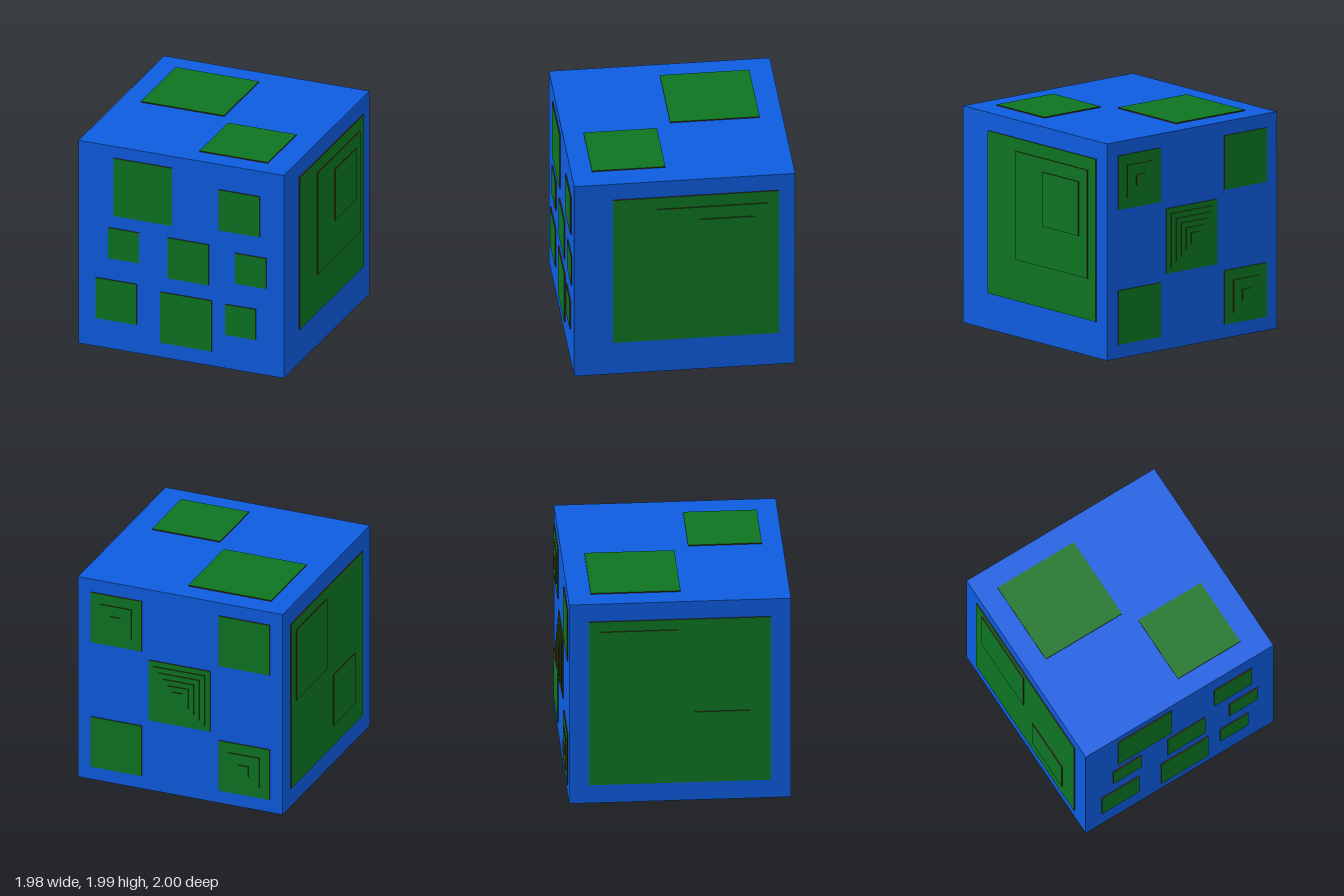
import * as THREE from 'three';

// Cube bounds and the thickness of one terrace layer
const MIN = [-0.971, 0.048, -0.942];
const SIZE = 1.932;
const T = SIZE / 200;

const blue = new THREE.MeshStandardMaterial({ color: 0x0d5ce0 });
const green = new THREE.MeshStandardMaterial({ color: 0x0d7422 });
const brown = new THREE.MeshStandardMaterial({ color: 0x4a2508 });

// Each face: normal axis, its sign, and the two in-plane axes (x=0, y=1, z=2)
const FACES = {
  front: { n: 2, s: 1, u: 0, v: 1 },
  back: { n: 2, s: -1, u: 0, v: 1 },
  left: { n: 0, s: 1, u: 2, v: 1 },
  right: { n: 0, s: -1, u: 2, v: 1 },
  top: { n: 1, s: 1, u: 0, v: 2 },
  bottom: { n: 1, s: -1, u: 0, v: 2 },
};

// Square plates [centre u, centre v, side, layer number (default 1)]
const PLATES = {
  front: [
    [-0.365, 1.595, 0.55], [0.542, 1.548, 0.386], [-0.545, 1.055, 0.29],
    [0.062, 1.007, 0.386], [0.65, 1.018, 0.29], [-0.615, 0.512, 0.386],
    [0.043, 0.43, 0.483], [0.555, 0.515, 0.29],
  ],
  left: [[-0.075, 1.095, 1.45], [-0.215, 1.222, 0.966, 2], [-0.343, 1.343, 0.483, 3]],
  right: [[0.022, 1.018, 1.585], [-0.335, 1.375, 0.676, 2], [0.39, 0.67, 0.483, 2]],
  top: [[-0.387, -0.35, 0.783], [0.414, 0.488, 0.642]],
  back: [[-0.61, 1.615, 0.483], [0.598, 0.413, 0.483]],
  bottom: [
    [0.356, -0.315, 0.966], [0.275, -0.25, 0.58, 2], [0.215, -0.19, 0.386, 3],
    [0.198, -0.175, 0.29, 4], [0.182, -0.163, 0.193, 5],
    [0.3, 0.565, 0.483], [0.31, 0.48, 0.29, 2],
    [-0.563, -0.25, 0.483], [-0.515, -0.33, 0.29, 2],
    [-0.525, 0.565, 0.483],
  ],
};

// Concentric stepped terraces on the back
const terrace = (u, v, sides) => sides.forEach((s, i) => PLATES.back.push([u, v, s, i + 1]));
terrace(0, 1.014, [0.58, 0.483, 0.386, 0.29, 0.193, 0.097]);
terrace(0.598, 1.615, [0.483, 0.29, 0.097]);
terrace(-0.61, 0.413, [0.483, 0.29, 0.097]);

// Thin plate with brown edges and a green outer face
function makePlate({ n, s, u, v }, [cu, cv, side, layer = 1]) {
  const size = [side, side, side];
  size[n] = T;
  const pos = [0, 0, 0];
  pos[u] = cu;
  pos[v] = cv;
  pos[n] = (s > 0 ? MIN[n] + SIZE : MIN[n]) + s * T * (layer - 0.5);
  const materials = Array(6).fill(brown);
  materials[n * 2 + (s > 0 ? 0 : 1)] = green;
  const mesh = new THREE.Mesh(new THREE.BoxGeometry(...size), materials);
  mesh.position.set(...pos);
  mesh.name = `landLayer${layer}`;
  return mesh;
}

export function createModel() {
  const model = new THREE.Group();
  model.name = 'cubePlanet';

  // Water cube
  const cube = new THREE.Mesh(new THREE.BoxGeometry(SIZE, SIZE, SIZE), blue);
  cube.position.set(...MIN.map((m) => m + SIZE / 2));
  cube.name = 'oceanCube';
  model.add(cube);

  // Land plates on each of the six faces
  for (const [side, plates] of Object.entries(PLATES)) {
    const land = new THREE.Group();
    land.name = `${side}Land`;
    plates.forEach((p) => land.add(makePlate(FACES[side], p)));
    model.add(land);
  }
  return model;
}
